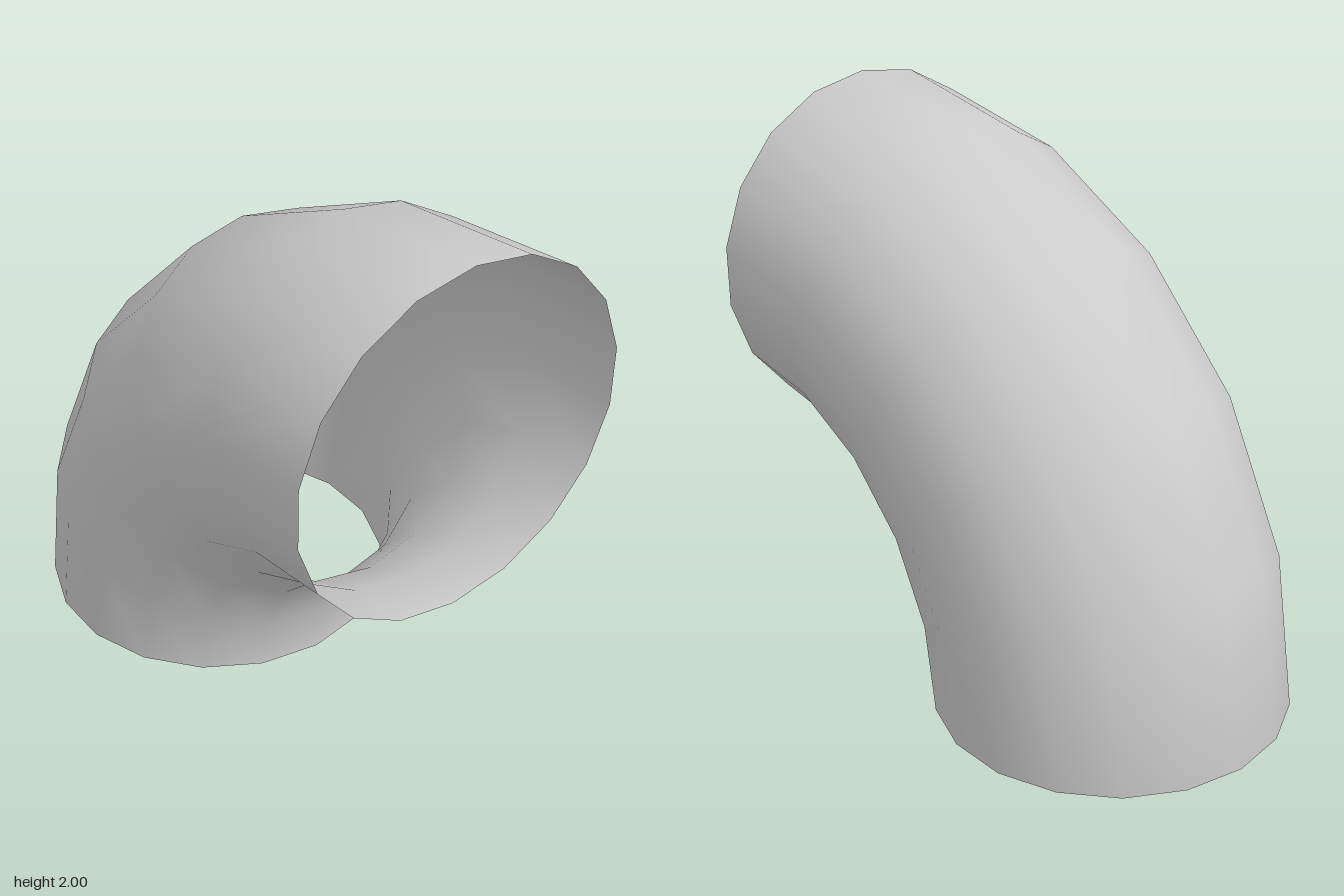
import * as THREE from 'three';

export function createModel() {
  const group = new THREE.Group();
  group.name = 'pipeElbow';

  const tubeRadius = 0.64;
  const bendRadius = 2 - tubeRadius;

  // Open quarter bend: 18 sides around the pipe, 5 segments along the bend
  const geometry = new THREE.TorusGeometry(bendRadius, tubeRadius, 18, 5, Math.PI / 2);
  geometry.rotateZ(Math.PI / 2); // sweep from the top round to the -x side
  geometry.translate(1, 0, 0); // bend centre at the lower +x corner

  const elbow = new THREE.Mesh(
    geometry,
    new THREE.MeshStandardMaterial({ color: 0xcccccc, side: THREE.DoubleSide })
  );
  elbow.name = 'elbowPipe';
  group.add(elbow);

  return group;
}
